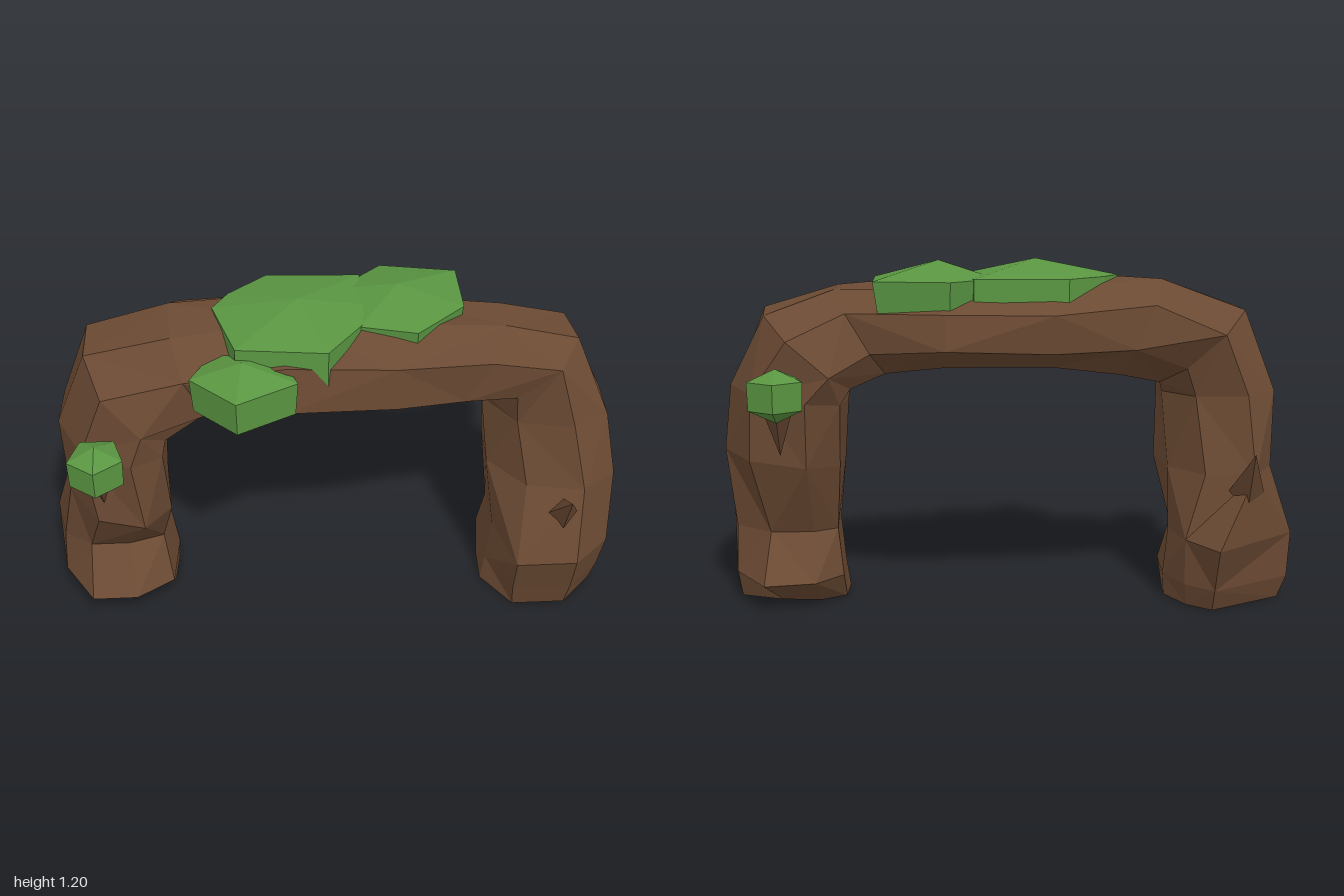
import * as THREE from 'three';

const bark = new THREE.MeshStandardMaterial({ color: 0x6b4a33, flatShading: true });
bark.name = 'bark brown';
const leaf = new THREE.MeshStandardMaterial({ color: 0x5a9642, flatShading: true });
leaf.name = 'leaf green';

const SIDES = 8;

// Skin a list of equal-length rings, closed by a point at each end
function loft(rings, start, end) {
  const n = rings[0].length, pos = [];
  const tri = (...pts) => pts.forEach((p) => pos.push(p.x, p.y, p.z));
  for (let j = 0; j < n; j++) {
    const k = (j + 1) % n;
    tri(start, rings[0][j], rings[0][k]);
    for (let i = 0; i < rings.length - 1; i++) {
      const a = rings[i], b = rings[i + 1];
      if ((i + j) % 2) {
        tri(a[j], b[j], a[k]);
        tri(a[k], b[j], b[k]);
      } else {
        tri(a[j], b[j], b[k]);
        tri(a[j], b[k], a[k]);
      }
    }
    tri(end, rings[rings.length - 1][k], rings[rings.length - 1][j]);
  }
  const g = new THREE.BufferGeometry();
  g.setAttribute('position', new THREE.Float32BufferAttribute(pos, 3));
  g.computeVertexNormals();
  return g;
}

function addMesh(group, name, geometry, material) {
  const m = new THREE.Mesh(geometry, material);
  m.name = name;
  group.add(m);
  return m;
}

const flatRing = (y, outline) => outline.map(([x, z]) => new THREE.Vector3(x, y, z));

// Oval arch stations: outer x, y, inner x, y, back z, front z, tilt of the top, skew
const stations = [
  [1.0, 0.54, 0.575, 0.5, -0.25, 0.25, 0, 0.3],
  [0.97, 0.77, 0.56, 0.72, -0.28, 0.19, 0, 0.35],
  [0.85, 1.03, 0.54, 0.77, -0.3, 0.17, 0, 0.25],
  [0.6, 1.11, 0.42, 0.8, -0.2, 0.19, 0.05, 0],
  [0.22, 1.13, 0.22, 0.83, -0.31, 0.27, 0.1, 0],
  [-0.15, 1.14, -0.15, 0.83, -0.3, 0.3, 0.08, 0],
  [-0.53, 1.13, -0.38, 0.8, -0.25, 0.24, 0, 0],
  [-0.82, 1.03, -0.55, 0.76, -0.2, 0.29, 0, -0.25],
  [-0.93, 0.75, -0.56, 0.72, -0.2, 0.3, 0, -0.35],
  [-0.92, 0.48, -0.56, 0.46, -0.25, 0.3, 0, -0.3],
];

function ovalRing([ox, oy, ix, iy, zb, zf, tilt, skew], i) {
  const fit = Math.cos(Math.PI / SIDES);
  return Array.from({ length: SIDES }, (_, j) => {
    const t = ((j + 0.5 + 0.15 * Math.sin(i * 2.3)) / SIDES) * Math.PI * 2;
    const r = (1 - 0.06 * Math.abs(Math.sin(i * 12.9 + j * 7.3))) / fit;
    const c = Math.cos(t), u = (Math.sign(c) * Math.abs(c) ** 0.85 * r) / 2;
    const z = (zb + zf) / 2 + ((zf - zb) * Math.sin(t + skew) * r) / 2;
    return new THREE.Vector3(
      (ox + ix) / 2 + (ox - ix) * u,
      (oy + iy) / 2 + (oy - iy) * u + tilt * z * Math.max(0, c) * 1.5,
      z
    );
  });
}

// Irregular feet, each outline running from the outer side round the front
const leftFoot = [
  flatRing(0, [[0.98, 0.12], [0.86, 0.25], [0.67, 0.25], [0.57, 0.1], [0.575, -0.04], [0.66, -0.09], [0.8, -0.08], [0.95, -0.02]]),
  flatRing(0.1, [[0.99, 0.16], [0.87, 0.28], [0.66, 0.28], [0.585, 0.1], [0.58, -0.12], [0.67, -0.23], [0.845, -0.26], [0.96, -0.06]]),
  flatRing(0.26, [[1.0, 0.21], [0.87, 0.335], [0.657, 0.335], [0.6, 0.1], [0.6, -0.08], [0.68, -0.13], [0.83, -0.13], [0.96, -0.02]]),
];
const rightFoot = [
  flatRing(0.24, [[-0.96, 0.04], [-0.86, 0.11], [-0.72, 0.11], [-0.6, 0.07], [-0.575, -0.06], [-0.61, -0.23], [-0.7, -0.4], [-1.0, -0.14]]),
  flatRing(0.08, [[-0.97, 0.05], [-0.86, 0.23], [-0.7, 0.23], [-0.57, 0.14], [-0.555, -0.08], [-0.61, -0.23], [-0.7, -0.32], [-0.99, -0.14]]),
  flatRing(0, [[-0.95, -0.01], [-0.85, 0.06], [-0.7, 0.07], [-0.57, 0.04], [-0.56, -0.08], [-0.62, -0.21], [-0.7, -0.28], [-0.96, -0.13]]),
];

function trunkGeometry() {
  const rings = [...leftFoot, ...stations.map(ovalRing), ...rightFoot];
  const middle = (r) => r.reduce((s, p) => s.add(p), new THREE.Vector3()).divideScalar(r.length);
  return loft(rings, middle(rings[0]), middle(rings[rings.length - 1]));
}

// Leaf clump: x, z outline with slanted sides and low peaks above and below
function clumpGeometry(outline, [low, y0, y1, high], [cx, cz], taper) {
  const inset = outline.map(([x, z]) => [cx + (x - cx) * taper, cz + (z - cz) * taper]);
  return loft([flatRing(y0, inset), flatRing(y1, outline)],
    new THREE.Vector3(cx, low, cz), new THREE.Vector3(cx, high, cz));
}

// Pointed stub from a base point to a tip
function addSpike(group, name, base, tip, radius) {
  const a = new THREE.Vector3(...base), b = new THREE.Vector3(...tip), d = b.clone().sub(a);
  const m = addMesh(group, name, new THREE.ConeGeometry(radius, d.length(), 4), bark);
  m.position.copy(a).add(b).multiplyScalar(0.5);
  m.quaternion.setFromUnitVectors(new THREE.Vector3(0, 1, 0), d.normalize());
}

export function createModel() {
  const model = new THREE.Group();
  model.name = 'treeArch';
  addMesh(model, 'archTrunk', trunkGeometry(), bark);

  // Large leaf clumps lying over the top
  addMesh(model, 'topClumpRight', clumpGeometry(
    [[0.18, 0.0], [0.1, 0.13], [-0.01, 0.28], [-0.31, 0.245], [-0.385, -0.02], [-0.33, -0.11], [-0.2, -0.225], [0.12, -0.21]],
    [1.0, 1.02, 1.145, 1.2], [-0.1, 0.03], 1), leaf);
  addMesh(model, 'topClumpLeft', clumpGeometry(
    [[0.46, 0.01], [0.29, 0.17], [0.1, 0.12], [0.04, -0.13], [0.2, -0.28], [0.46, -0.23]],
    [1.0, 1.03, 1.14, 1.2], [0.24, -0.05], 0.93), leaf);
  // Clump hanging on the front
  addMesh(model, 'frontClump', clumpGeometry(
    [[-0.11, 0.32], [-0.31, 0.43], [-0.46, 0.28], [-0.38, 0.12], [-0.17, 0.14]],
    [0.89, 0.94, 1.06, 1.12], [-0.29, 0.28], 0.95), leaf);

  // Small tufts on twigs and broken stubs, turned half way round for the other leg
  const pentagon = Array.from({ length: 5 }, (_, i) => {
    const t = Math.PI / 2 + (i / 5) * Math.PI * 2;
    return [-0.775 + 0.095 * Math.cos(t), 0.365 + 0.1 * Math.sin(t)];
  });
  for (const side of ['right', 'left']) {
    const g = new THREE.Group();
    g.name = side + 'LegGrowth';
    if (side === 'left') g.rotation.y = Math.PI;
    addMesh(g, 'tuft', clumpGeometry(pentagon, [0.69, 0.735, 0.83, 0.87], [-0.775, 0.37], 0.97), leaf);
    addSpike(g, 'twig', [-0.775, 0.76, 0.34], [-0.775, 0.56, 0.27], 0.06);
    addSpike(g, 'brokenStub', [-0.815, 0.38, -0.21], [-0.815, 0.57, -0.38], 0.075);
    model.add(g);
  }
  return model;
}
